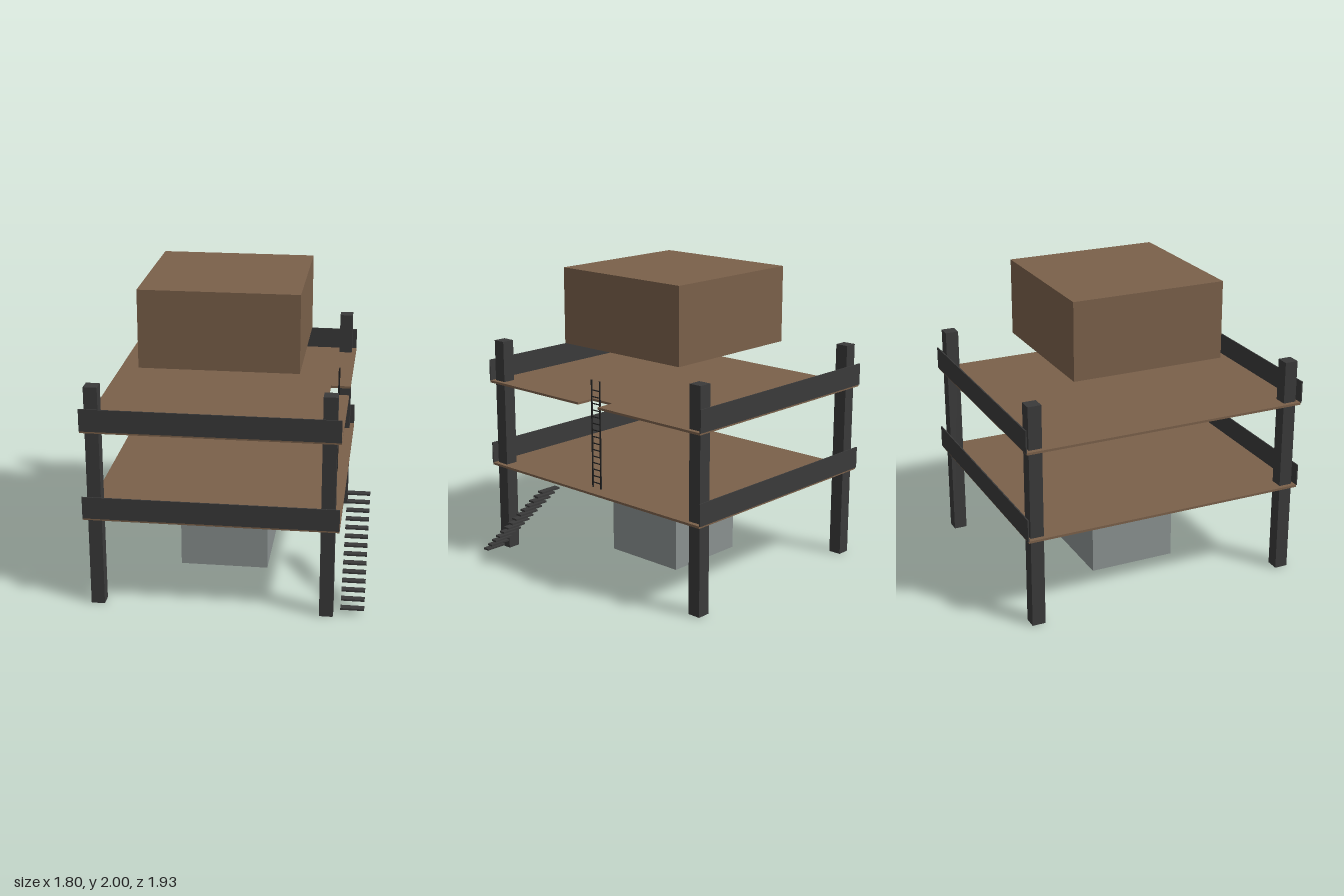
import * as THREE from 'three';

const mat = (color) => new THREE.MeshStandardMaterial({ color });

export function createModel() {
  const model = new THREE.Group();
  const brown = mat(0x7a604a), dark = mat(0x3a3a3a), stone = mat(0x8a9190), black = mat(0x222222);
  const midX = -0.085;

  // Box from its minimum and maximum corners
  function box(name, [x0, y0, z0], [x1, y1, z1], material, parent = model) {
    const mesh = new THREE.Mesh(new THREE.BoxGeometry(x1 - x0, y1 - y0, z1 - z0), material);
    mesh.position.set((x0 + x1) / 2, (y0 + y1) / 2, (z0 + z1) / 2);
    mesh.name = name;
    parent.add(mesh);
    return mesh;
  }

  // Cabin on the posts and the block on the ground
  box('cabin', [-0.603, 1.485, -0.518], [0.433, 2, 0.518], brown);
  box('groundBlock', [-0.382, 0, -0.296], [0.212, 0.445, 0.296], stone);

  // Corner posts
  for (const sx of [-1, 1]) {
    for (const sz of [-1, 1]) {
      const x = midX + sx * 0.741, z = sz * 0.891;
      box('post', [x - 0.044, 0, z - 0.044], [x + 0.044, 1.485, z + 0.044], dark);
    }
  }

  // Lower deck
  box('lowerDeck', [-0.9, 0.6, -0.957], [0.73, 0.615, 0.957], brown);

  // Upper deck, notched at the edge for the ladder
  const outline = new THREE.Shape([
    [-0.9, -0.957], [0.73, -0.957], [0.73, -0.09], [0.597, -0.09],
    [0.597, 0.09], [0.73, 0.09], [0.73, 0.957], [-0.9, 0.957],
  ].map(([x, y]) => new THREE.Vector2(x, y)));
  const deckGeometry = new THREE.ExtrudeGeometry(outline, { depth: 0.015, bevelEnabled: false });
  deckGeometry.rotateX(-Math.PI / 2);
  const upperDeck = new THREE.Mesh(deckGeometry, brown);
  upperDeck.position.y = 1.19;
  upperDeck.name = 'upperDeck';
  model.add(upperDeck);

  // Solid railings along the front and back of both decks
  for (const y of [0.613, 1.203]) {
    for (const s of [-1, 1]) {
      const z = s * 0.96;
      box('railing', [-0.9, y, z - 0.004], [0.73, y + 0.146, z + 0.004], dark);
    }
  }

  // Floating stair treads
  const stairs = new THREE.Group();
  stairs.name = 'stairs';
  model.add(stairs);
  for (let i = 0; i < 14; i++) {
    const y = 0.038 + i * 0.0423, z = 0.87 - i * 0.0446;
    box('tread', [0.745, y - 0.006, z - 0.023], [0.897, y + 0.006, z + 0.023], dark, stairs);
  }

  // Ladder through the notch
  const ladder = new THREE.Group();
  ladder.name = 'ladder';
  ladder.position.x = 0.657;
  model.add(ladder);
  for (const s of [-1, 1]) {
    const z = s * 0.037;
    box('ladderRail', [-0.004, 0.625, z - 0.004], [0.004, 1.352, z + 0.004], black, ladder);
  }
  for (let i = 0; i < 15; i++) {
    const y = 0.661 + i * 0.0446;
    box('rung', [-0.003, y - 0.003, -0.037], [0.003, y + 0.003, 0.037], black, ladder);
  }
  return model;
}
